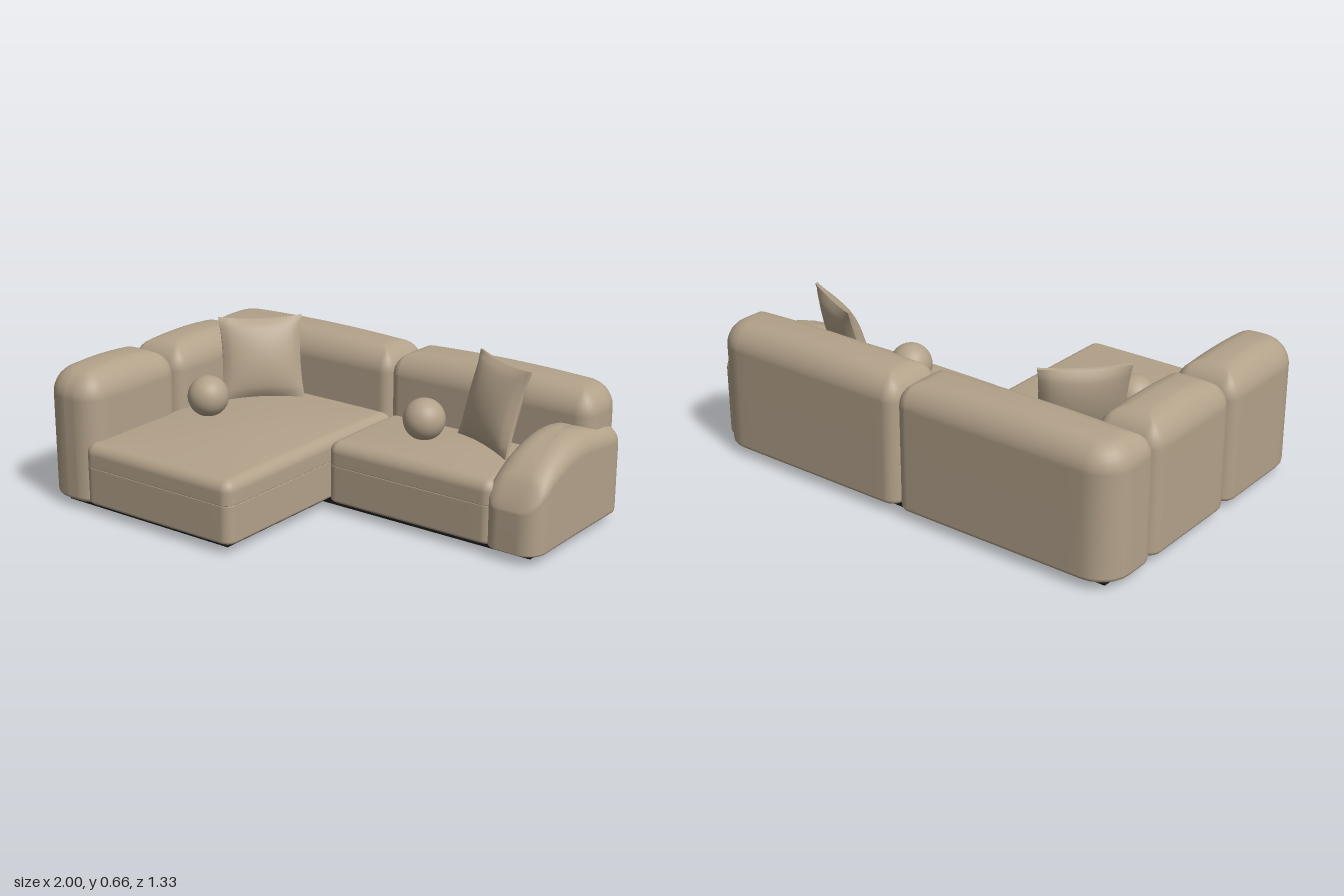
import * as THREE from 'three';

const fabric = new THREE.MeshStandardMaterial({ color: 0xb3a28a });
fabric.name = 'tan fabric';
const plinthBlack = new THREE.MeshStandardMaterial({ color: 0x1a1a1a });
plinthBlack.name = 'plinth black';

// Rounded rectangle in plan; corners run (+x+z), (-x+z), (-x-z), (+x-z)
function planRing(hx, hz, radii) {
  const signs = [[1, 1], [-1, 1], [-1, -1], [1, -1]];
  const arcs = signs.map(([sx, sz], k) => {
    const r = radii[k], arc = [];
    for (let i = 0; i <= 6; i++) {
      const a = (k + i / 6) * Math.PI / 2;
      arc.push([sx * (hx - r) + r * Math.cos(a), sz * (hz - r) + r * Math.sin(a)]);
    }
    return arc;
  });
  const ring = [];
  arcs.forEach((arc, k) => {
    ring.push(...arc);
    const a = arc[6], b = arcs[(k + 1) % 4][0];
    for (let i = 1; i < 12; i++) {
      const t = i / 12;
      ring.push([a[0] + (b[0] - a[0]) * t, a[1] + (b[1] - a[1]) * t]);
    }
  });
  return ring;
}

// Upholstered block lofted from plan rings, with soft edges and a crowned top
function cushion(name, [x0, x1], [y0, y1], [z0, z1], { radii, top, bottom = 0.02, crown = 0.02, height }) {
  const hx = (x1 - x0) / 2, hz = (z1 - z0) / 2, cx = (x0 + x1) / 2, cz = (z0 + z1) / 2;
  const layers = [[0, bottom, y0], [0.6, bottom, y0]];
  for (let i = 0; i <= 4; i++) {
    const a = i / 4 * Math.PI / 2;
    layers.push([1, bottom * (1 - Math.sin(a)), y0 + bottom * (1 - Math.cos(a))]);
  }
  for (let i = 0; i <= 8; i++) {
    const a = i / 8 * Math.PI / 2;
    layers.push([1, top * (1 - Math.cos(a)), y1 - top * (1 - Math.sin(a))]);
  }
  for (const s of [0.9, 0.75, 0.5, 0.25, 0]) layers.push([s, top, y1]);

  const pos = [], index = [];
  let n = 0;
  for (const [s, inset, y] of layers) {
    const ring = planRing(hx - inset, hz - inset, radii.map(r => Math.max(r - inset, 0.01)));
    n = ring.length;
    for (const [px, pz] of ring) {
      const x = px * s, z = pz * s, t = (y - y0) / (y1 - y0);
      const scale = height ? (height(z + cz) - y0) / (y1 - y0) : 1;
      const puff = crown * t * (1 - (x / hx) ** 2) * (1 - (z / hz) ** 2);
      pos.push(x + cx, y0 + (y - y0) * scale + puff, z + cz);
    }
  }
  for (let l = 0; l < layers.length - 1; l++) {
    for (let i = 0; i < n; i++) {
      const a = l * n + i, b = l * n + (i + 1) % n;
      index.push(a, a + n, b, b, a + n, b + n);
    }
  }
  const geo = new THREE.BufferGeometry();
  geo.setAttribute('position', new THREE.Float32BufferAttribute(pos, 3));
  geo.setIndex(index);
  geo.computeVertexNormals();
  const mesh = new THREE.Mesh(geo, fabric);
  mesh.name = name;
  return mesh;
}

// Square pillow, pinched at the edges with pointed corners
function pillow(name, size, position, yaw, lean) {
  const geo = new THREE.BoxGeometry(2, 2, 2, 16, 16, 1);
  const p = geo.attributes.position;
  for (let i = 0; i < p.count; i++) {
    const u = p.getX(i), v = p.getY(i), side = Math.sign(p.getZ(i));
    const bulge = Math.pow(Math.max((1 - u * u) * (1 - v * v), 0), 0.6);
    p.setXYZ(i,
      u * size / 2 * (1 - 0.07 * (1 - v * v)),
      v * size / 2 * (1 - 0.07 * (1 - u * u)),
      side * (0.006 + 0.052 * bulge));
  }
  geo.computeVertexNormals();
  const mesh = new THREE.Mesh(geo, fabric);
  mesh.name = name;
  mesh.position.set(...position);
  mesh.rotation.set(-lean, yaw, 0, 'YXZ');
  return mesh;
}

// Sloping top line of the low arm, as [z, y]
const armLine = [[-0.6, 0.405], [-0.5, 0.422], [-0.42, 0.43], [-0.3, 0.447], [-0.2, 0.435],
  [-0.08, 0.39], [0, 0.33], [0.04, 0.28], [0.06, 0.25]];
function armHeight(z) {
  for (let i = 1; i < armLine.length; i++) {
    const [za, ya] = armLine[i - 1], [zb, yb] = armLine[i];
    if (z <= zb) return ya + (yb - ya) * Math.max(0, (z - za) / (zb - za));
  }
  return armLine[armLine.length - 1][1];
}

export function createModel() {
  const sofa = new THREE.Group();
  sofa.name = 'sectionalSofa';

  // L-shaped plinth
  const outline = new THREE.Shape([[-0.93, -0.59], [0.93, -0.59], [0.93, -0.02], [-0.07, -0.02],
    [-0.07, 0.59], [-0.93, 0.59]].map(([x, z]) => new THREE.Vector2(x, -z)));
  const plinth = new THREE.Mesh(
    new THREE.ExtrudeGeometry(outline, { depth: 0.042, bevelEnabled: false }), plinthBlack);
  plinth.rotation.x = -Math.PI / 2;
  plinth.name = 'plinth';
  sofa.add(plinth);

  // Backrests and tall side rests
  const tall = [0.035, 0.565];
  sofa.add(
    cushion('leftBackrest', [-1, 0], tall, [-0.665, -0.385], { radii: [0.05, 0.05, 0.13, 0.06], top: 0.095 }),
    cushion('rightBackrest', [0, 0.96], tall, [-0.665, -0.385], { radii: [0.07, 0.05, 0.06, 0.13], top: 0.095 }),
    cushion('rearSideRest', [-1, -0.72], tall, [-0.39, 0.135], { radii: [0.06, 0.06, 0.06, 0.06], top: 0.095, crown: 0.025 }),
    cushion('frontSideRest', [-1, -0.72], tall, [0.135, 0.66], { radii: [0.09, 0.13, 0.06, 0.06], top: 0.095, crown: 0.025 }),
  );

  // Seats: a base with a cushion on top, meeting at a seam
  const seats = [['chaise', [-0.77, 0], [-0.42, 0.66]], ['rightSeat', [0.002, 0.79], [-0.42, 0.05]]];
  for (const [name, xs, zs] of seats) {
    const radii = [0.045, 0.045, 0.03, 0.03];
    sofa.add(
      cushion(name + 'Base', xs, [0.04, 0.203], zs, { radii, top: 0.005, bottom: 0.015, crown: 0 }),
      cushion(name + 'Cushion', xs, [0.2, 0.3], zs, { radii, top: 0.045, bottom: 0.005, crown: 0.022 }),
    );
  }

  // Low sloping arm
  sofa.add(cushion('lowArm', [0.76, 1], [0.035, 0.447], [-0.6, 0.062],
    { radii: [0.08, 0.06, 0.05, 0.06], top: 0.085, crown: 0, height: armHeight }));

  // Loose pillows
  sofa.add(
    pillow('leftPillow', 0.36, [-0.56, 0.485, -0.225], Math.PI / 4, 0.28),
    pillow('rightPillow', 0.36, [0.58, 0.487, -0.29], -0.45, 0.28),
  );

  // Ball cushions
  for (const [name, x, z] of [['leftBall', -0.575, 0.11], ['rightBall', 0.315, -0.19]]) {
    const ball = new THREE.Mesh(new THREE.SphereGeometry(0.087, 32, 20), fabric);
    ball.position.set(x, 0.395, z);
    ball.name = name;
    sofa.add(ball);
  }
  return sofa;
}
